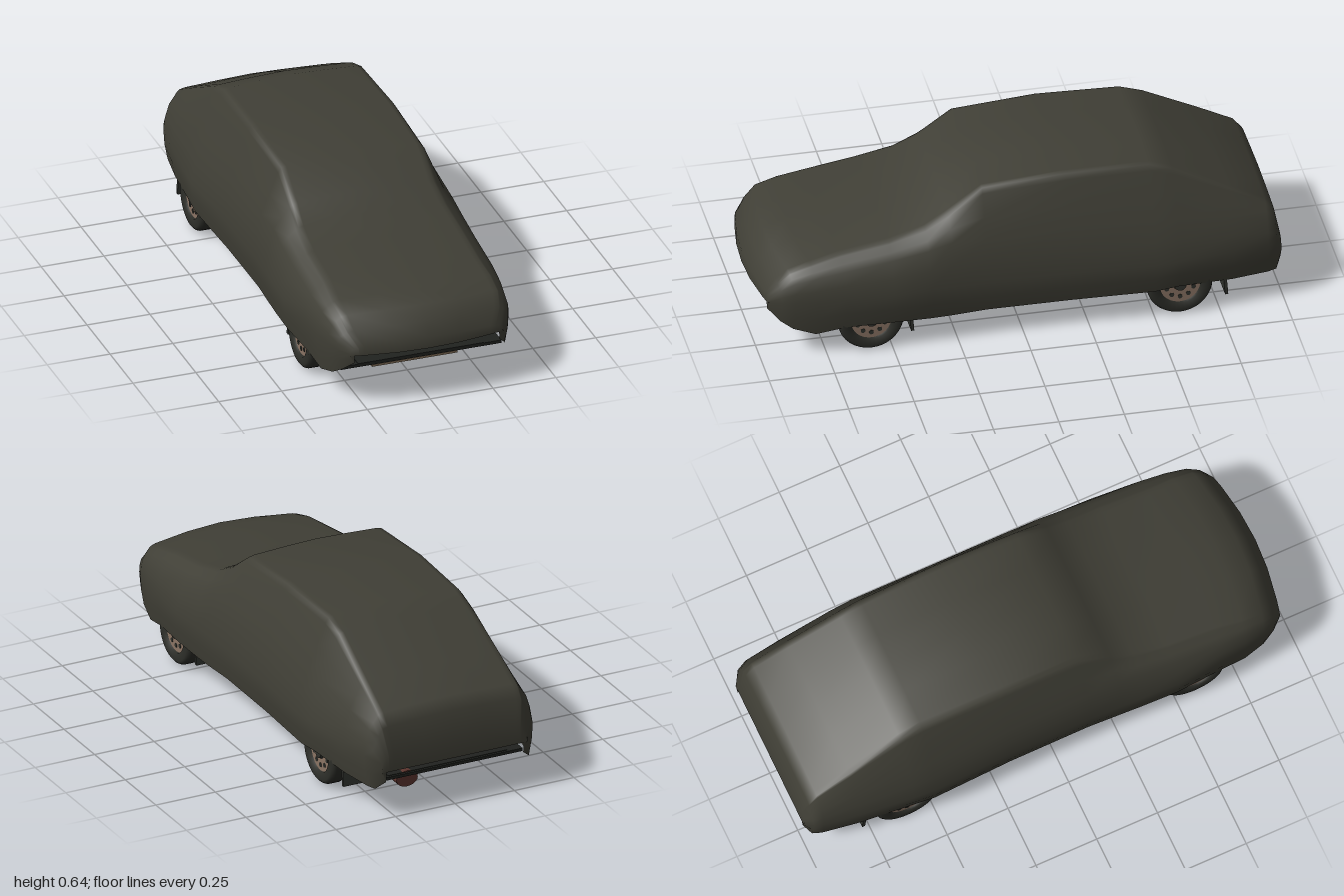
import * as THREE from 'three';

const paint = (name, color, side = THREE.FrontSide) => {
  const m = new THREE.MeshStandardMaterial({ color, side });
  m.name = name;
  return m;
};

export function createModel() {
  const model = new THREE.Group();
  model.name = 'coveredCar';
  const cloth = paint('cloth cover', 0x403f36, THREE.DoubleSide);
  const floorMat = paint('dark underbody', 0x20221f);
  const metal = paint('chassis metal', 0x30322d);
  const rubber = paint('tyre rubber', 0x2c2d28);
  const rimMat = paint('dusty rim', 0x8a7464);
  const rust = paint('rusty exhaust', 0x5c352e);
  const redPlate = paint('dark red plate', 0x35201d);
  const tan = paint('tan sill', 0x84705a);

  const add = (name, geo, mat, x = 0, y = 0, z = 0, parent = model) => {
    const m = new THREE.Mesh(geo, mat);
    m.name = name;
    m.position.set(x, y, z);
    parent.add(m);
    return m;
  };
  const box = (name, w, h, d, mat, x, y, z) => add(name, new THREE.BoxGeometry(w, h, d), mat, x, y, z);
  const tube = (name, pts, r, mat) => {
    const path = new THREE.CurvePath();
    const v = pts.map(p => new THREE.Vector3(...p));
    for (let i = 1; i < v.length; i++) path.add(new THREE.LineCurve3(v[i - 1], v[i]));
    return add(name, new THREE.TubeGeometry(path, 40, r, 8), mat);
  };

  // Fabric cover: cross-sections from nose to tail
  // z, top y, roof half width, shoulder x, shoulder y, widest x, hem y
  const stations = [
    [0.998, 0.26, 0.27, 0.295, 0.24, 0.305, 0.185],
    [0.965, 0.315, 0.30, 0.33, 0.28, 0.34, 0.145],
    [0.92, 0.36, 0.31, 0.345, 0.31, 0.36, 0.115],
    [0.83, 0.385, 0.31, 0.355, 0.33, 0.375, 0.09],
    [0.70, 0.41, 0.30, 0.36, 0.35, 0.387, 0.112],
    [0.50, 0.44, 0.30, 0.36, 0.375, 0.402, 0.12],
    [0.36, 0.475, 0.29, 0.36, 0.40, 0.396, 0.115],
    [0.27, 0.525, 0.28, 0.357, 0.425, 0.392, 0.115],
    [0.14, 0.618, 0.278, 0.36, 0.42, 0.388, 0.12],
    [-0.18, 0.64, 0.28, 0.36, 0.42, 0.39, 0.12],
    [-0.50, 0.633, 0.274, 0.36, 0.42, 0.404, 0.123],
    [-0.59, 0.603, 0.275, 0.355, 0.415, 0.398, 0.13],
    [-0.80, 0.495, 0.285, 0.34, 0.38, 0.375, 0.12],
    [-0.94, 0.42, 0.29, 0.33, 0.35, 0.353, 0.12],
    [-0.975, 0.375, 0.29, 0.318, 0.31, 0.34, 0.12],
    [-0.998, 0.27, 0.275, 0.295, 0.24, 0.305, 0.15],
  ];
  const section = ([z, top, rw, sx, sy, mx, by]) => {
    const edge = top - 0.016;
    const my = Math.min(0.25, (top + by) / 2);
    const bx = mx - 0.017;
    const half = [
      [rw * 0.45, top - 0.004], [rw * 0.93, top - 0.011], [rw, edge],
      [rw + (sx - rw) * 0.16, edge - (edge - sy) * 0.1],
      [rw + (sx - rw) * 0.58, edge - (edge - sy) * 0.55],
      [sx, sy], [(sx + mx) / 2 + 0.004, (sy + my) / 2],
      [mx, my], [(mx + bx) / 2 + 0.004, (my + by) / 2], [bx, by],
    ];
    const ring = [...half.slice().reverse().map(([x, y]) => [-x, y]), [0, top], ...half];
    const bow = 0.04 * THREE.MathUtils.smoothstep(z, 0.5, 1);
    return ring.map(([x, y]) => new THREE.Vector3(x, y, z - bow * (x / 0.31) ** 2));
  };
  const flatten = (ring, y, dz) => ring.map(p => new THREE.Vector3(p.x, y, p.z + dz));
  const body = stations.map(section);
  const rings = [flatten(body[0], 0.215, 0.002), ...body, flatten(body.at(-1), 0.19, -0.002)];
  // A plane grid is moved onto the rings, so its faces and smooth normals follow them
  const columns = rings[0].length;
  const cover = new THREE.PlaneGeometry(1, 1, columns - 1, rings.length - 1);
  rings.forEach((ring, i) => ring.forEach((p, j) => {
    cover.attributes.position.setXYZ(i * columns + j, p.x, p.y, p.z);
  }));
  // Grid faces wind a, b, next: rows run to the tail and columns to the left, so they face outward
  cover.computeVertexNormals();
  add('fabricCover', cover, cloth);

  // Underbody floor with open wheel wells
  box('floorPan', 0.72, 0.012, 0.82, floorMat, 0, 0.136, 0);
  box('floorSpine', 0.5, 0.012, 1.84, floorMat, 0, 0.138, -0.02);
  box('frontTray', 0.64, 0.012, 0.16, floorMat, 0, 0.136, 0.82);
  box('rearTray', 0.62, 0.012, 0.18, floorMat, 0, 0.136, -0.86);
  box('driveTunnel', 0.1, 0.012, 0.9, metal, 0, 0.129, 0);
  box('frontValance', 0.34, 0.008, 0.02, tan, 0, 0.086, 0.82);

  for (const s of [-1, 1]) {
    box('sill', 0.012, 0.02, 0.8, tan, s * 0.352, 0.122, 0);
    box('chassisRail', 0.035, 0.025, 0.85, metal, s * 0.23, 0.122, 0.02);
    box('floorRib', 0.1, 0.012, 0.34, metal, s * 0.14, 0.126, 0.15);
    box('redFloorPlate', 0.09, 0.008, 0.16, redPlate, s * 0.29, 0.127, 0.18);
    // Suspension arms
    tube('trailingArm', [[s * 0.2, 0.12, -0.32], [s * 0.27, 0.115, -0.6]], 0.014, metal);
    tube('controlArm', [[s * 0.13, 0.115, 0.5], [s * 0.29, 0.11, 0.58], [s * 0.13, 0.115, 0.68]], 0.012, metal);
    for (const [end, z, flapZ] of [['front', 0.58, 0.425], ['rear', -0.6, -0.775]]) {
      box(end + 'WellTop', 0.12, 0.008, 0.36, floorMat, s * 0.305, 0.27, z);
      box(end + 'WellWall', 0.008, 0.14, 0.36, floorMat, s * 0.25, 0.2, z);
      const flap = box(end + 'MudFlap', 0.115, 0.09, 0.012, metal, s * 0.3, 0.1, flapZ);
      flap.rotation.x = 0.08;

      // Wheel, turned so that its outer face points away from the car
      const wheel = new THREE.Group();
      wheel.name = end + 'Wheel';
      wheel.position.set(s * 0.333, 0.125, z);
      wheel.rotation.z = -s * Math.PI / 2;
      model.add(wheel);
      const profile = [[0.075, -0.033], [0.11, -0.038], [0.12, -0.03], [0.125, -0.02],
        [0.125, 0.02], [0.12, 0.03], [0.11, 0.038], [0.08, 0.035], [0.075, 0.02]]
        .map(p => new THREE.Vector2(...p));
      add('tyre', new THREE.LatheGeometry(profile, 36), rubber, 0, 0, 0, wheel);
      add('rim', new THREE.CylinderGeometry(0.077, 0.077, 0.052, 32), rimMat, 0, 0, 0, wheel);
      add('hub', new THREE.CylinderGeometry(0.022, 0.028, 0.016, 20), metal, 0, 0.03, 0, wheel);
      for (let k = 0; k < 10; k++) {
        const a = k * Math.PI / 5;
        add('rimSlot', new THREE.CylinderGeometry(0.009, 0.009, 0.004, 10), metal,
          Math.cos(a) * 0.054, 0.026, Math.sin(a) * 0.054, wheel);
      }
    }
  }

  // Axles and cross members
  tube('rearAxle', [[-0.3, 0.125, -0.6], [0.3, 0.125, -0.6]], 0.02, metal);
  box('frontCrossMember', 0.44, 0.03, 0.06, metal, 0, 0.115, 0.58);
  box('gearboxMount', 0.4, 0.02, 0.04, metal, 0, 0.12, 0.32);
  box('engineSump', 0.16, 0.04, 0.2, metal, -0.06, 0.112, 0.66);
  tube('antiRollBar', [[-0.28, 0.115, 0.56], [-0.22, 0.115, 0.75], [0.22, 0.115, 0.75], [0.28, 0.115, 0.56]], 0.008, metal);

  // Exhaust line
  tube('exhaustPipe', [[0.09, 0.115, 0.64], [0.06, 0.108, 0.45], [0, 0.11, 0.2], [0, 0.11, -0.28],
    [0.15, 0.115, -0.46], [0.15, 0.125, -0.6], [0.17, 0.12, -0.85]], 0.012, rust);
  const muffler = (name, len, r, x, z) => {
    const m = add(name, new THREE.CylinderGeometry(r, r, len, 20), rust, x, 0.115, z);
    m.rotation.x = Math.PI / 2;
    m.scale.x = 1.4;
  };
  muffler('middleMuffler', 0.2, 0.024, 0, 0.12);
  muffler('rearMuffler', 0.2, 0.032, 0.17, -0.84);
  box('rearRedPlate', 0.14, 0.008, 0.13, redPlate, -0.04, 0.13, -0.5);

  return model;
}
